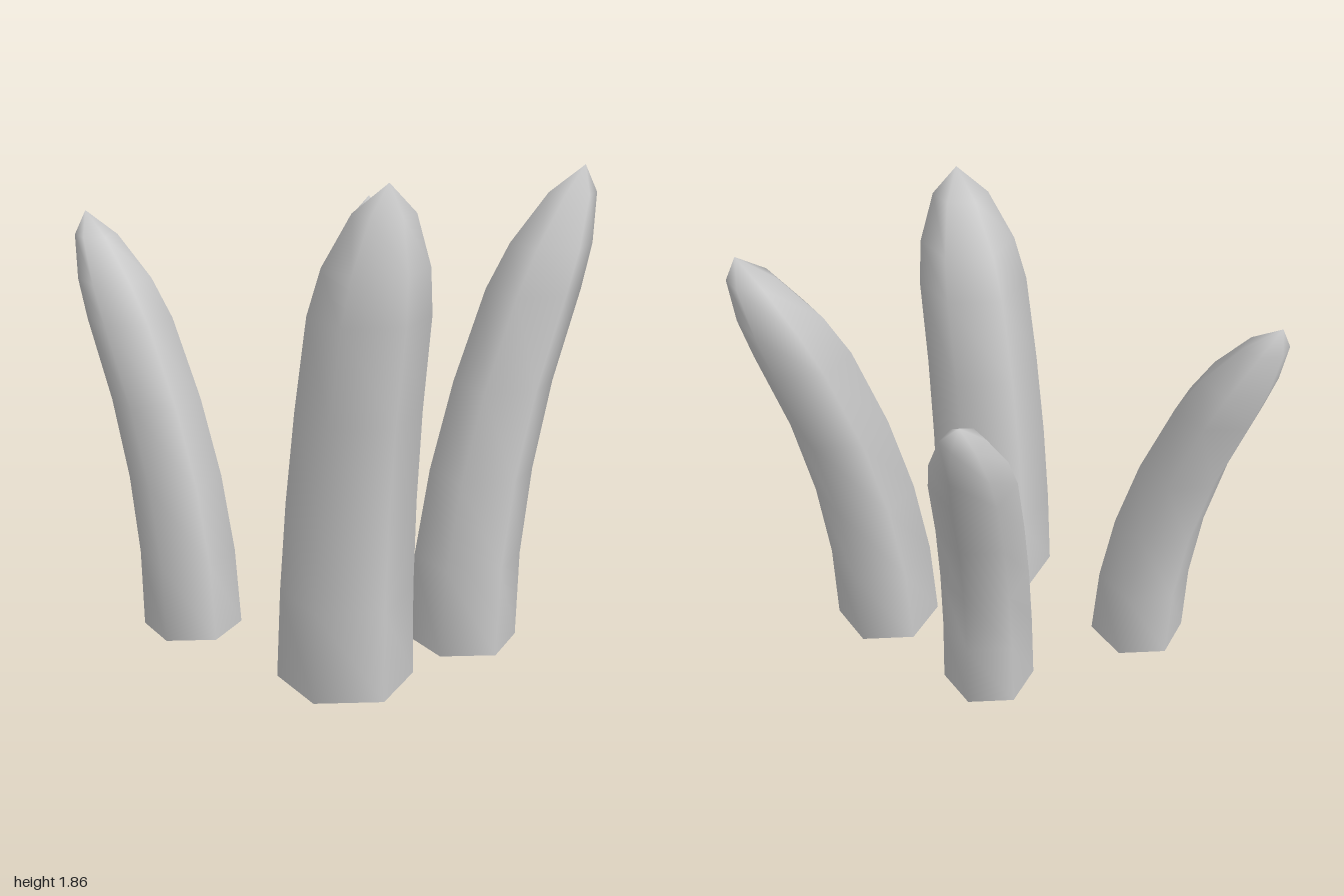
import * as THREE from 'three';
import { mergeVertices } from 'three/addons/utils/BufferGeometryUtils.js';

// Shared spike profile: [fraction of height, fraction of base radius]
const PROFILE = [
  [0, 1], [0.188, 0.962], [0.375, 0.925], [0.562, 0.885],
  [0.752, 0.845], [0.844, 0.73], [0.945, 0.425], [1, 0],
];
const SIDES = 6;

// Each spike: base centre, base radius, height and sideways offset of the tip
const SPIKES = [
  { name: 'frontSpike', x: 0.025, z: 0.497, r: 0.255, h: 1.86, dx: 0.13, dz: 0.166 },
  { name: 'leftSpike', x: 0.505, z: 0.188, r: 0.215, h: 1.835, dx: 0.445, dz: -0.177 },
  { name: 'rightSpike', x: -0.565, z: 0.02, r: 0.195, h: 1.635, dx: -0.387, dz: -0.28 },
  { name: 'backSpike', x: 0.086, z: -0.233, r: 0.185, h: 1.612, dx: 0.11, dz: -0.53 },
];

// Six-sided tapered body, bent so that its axis follows a parabola
function spikeGeometry({ r, h, dx, dz }) {
  const points = PROFILE.map(([t, k]) => new THREE.Vector2(k * r, t * h));
  let geometry = new THREE.LatheGeometry(points, SIDES, Math.PI / 2);
  const pos = geometry.attributes.position;
  for (let i = 0; i < pos.count; i++) {
    const bend = (pos.getY(i) / h) ** 2;
    pos.setX(i, pos.getX(i) + dx * bend);
    pos.setZ(i, pos.getZ(i) + dz * bend);
  }
  // Weld the seam and the tip so the shading is smooth all round
  geometry.deleteAttribute('uv');
  geometry.deleteAttribute('normal');
  geometry = mergeVertices(geometry, 1e-4);
  geometry.computeVertexNormals();
  return geometry;
}

export function createModel() {
  const model = new THREE.Group();
  model.name = 'spikeCluster';
  const material = new THREE.MeshStandardMaterial({ color: 0xcccccc });

  for (const spec of SPIKES) {
    const spike = new THREE.Group();
    spike.name = spec.name;
    spike.position.set(spec.x, 0, spec.z);

    const body = new THREE.Mesh(spikeGeometry(spec), material);
    body.name = 'spikeBody';

    // Flat hexagonal underside
    const base = new THREE.Mesh(new THREE.CircleGeometry(spec.r, SIDES), material);
    base.name = 'spikeBase';
    base.rotation.x = Math.PI / 2;

    spike.add(body, base);
    model.add(spike);
  }
  return model;
}
